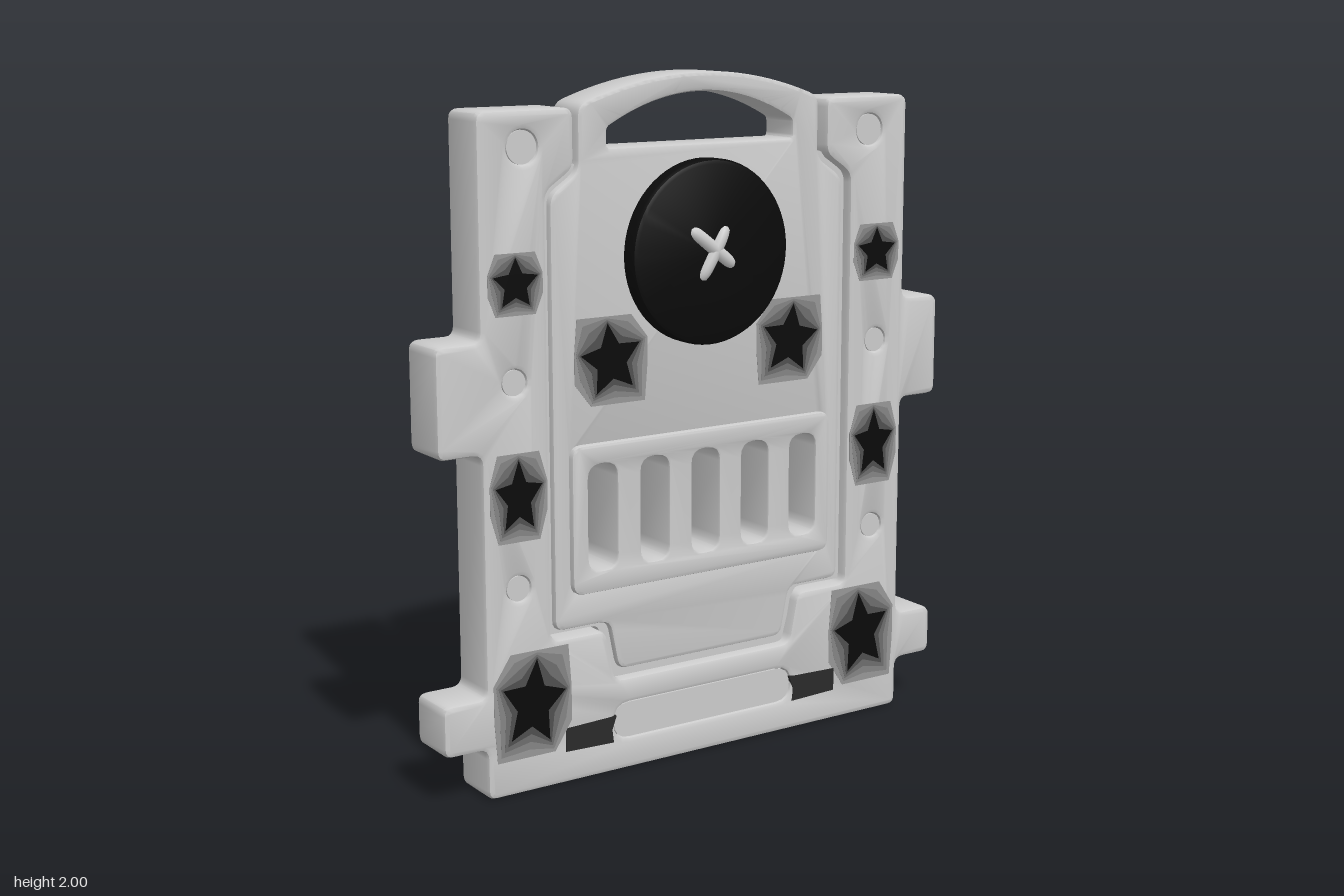
import * as THREE from 'three';
import { toCreasedNormals } from 'three/addons/utils/BufferGeometryUtils.js';

const GREY = 0xcccccc, BLACK = 0x0a0a0a;
const FRAME = [-0.093, 0.073], BADGE = [-0.081, 0.058]; // back and front faces

// Closed outline with softened corners
function rounded(pts, r, shape = new THREE.Shape()) {
  const v = pts.map(([x, y]) => new THREE.Vector2(x, y));
  v.forEach((p, i) => {
    const towards = (q) => p.clone().lerp(q, Math.min(0.5, r / p.distanceTo(q)));
    const a = towards(v[(i + v.length - 1) % v.length]);
    const b = towards(v[(i + 1) % v.length]);
    if (i) shape.lineTo(a.x, a.y); else shape.moveTo(a.x, a.y);
    for (let k = 1; k <= 4; k++) {
      const t = k / 4, s = 1 - t;
      shape.lineTo(s * s * a.x + 2 * s * t * p.x + t * t * b.x, s * s * a.y + 2 * s * t * p.y + t * t * b.y);
    }
  });
  shape.closePath();
  return shape;
}
const mirrored = (half) => [...half, ...half.slice().reverse().map(([x, y]) => [-x, y])];
const rect = (x0, x1, y0, y1) => [[x0, y0], [x1, y0], [x1, y1], [x0, y1]];
const circle = (x, y, r) => new THREE.Shape().absarc(x, y, r, 0, Math.PI * 2);

// Arched edge from (x, y) up to the middle and back down
function arch(x, y, top) {
  return Array.from({ length: 17 }, (_, i) => {
    const u = 1 - i / 8;
    return [x * u, top - (top - y) * u * u];
  });
}

export function createModel() {
  const model = new THREE.Group();
  const add = (name, geometry, color = GREY) => {
    const mesh = new THREE.Mesh(geometry, new THREE.MeshStandardMaterial({ color }));
    mesh.name = name;
    model.add(mesh);
    return mesh;
  };
  // Plate between two z levels, with bevelled rims that stay inside the outline
  const slab = (name, shape, [z0, z1], bevel = 0, color = GREY) => {
    let g = new THREE.ExtrudeGeometry(shape, {
      depth: z1 - z0 - 2 * bevel, bevelEnabled: bevel > 0, bevelThickness: bevel,
      bevelSize: bevel, bevelOffset: -bevel, bevelSegments: 2, curveSegments: 16,
    });
    g.translate(0, 0, z0 + bevel);
    return add(name, toCreasedNormals(g, 0.6), color);
  };
  const grow = ([a, b], d) => [a - d, b + d];

  // Outer frame with side tabs
  const frame = rounded(mirrored([
    [0.73, 0], [0.73, 0.15], [0.865, 0.15], [0.865, 0.3], [0.73, 0.3], [0.73, 0.99],
    [0.865, 0.99], [0.865, 1.3], [0.73, 1.3], [0.73, 1.915], [0.43, 1.915],
    [0.43, 1.75], [0.52, 1.69], [0.52, 0.43], [0.34, 0.43], [0.31, 0.275],
  ]), 0.028);

  // Round inlays and the long bottom inlay, each sunk slightly into the frame
  const inlays = [];
  for (const s of [1, -1]) {
    for (const [x, y, r] of [[0.59, 1.815, 0.046], [0.625, 1.18, 0.036], [0.622, 0.6, 0.036]]) {
      inlays.push(['roundInlay', circle(s * x, y, r)]);
    }
  }
  inlays.push(['bottomInlay', rounded(rect(-0.315, 0.315, 0.095, 0.2), 0.052)]);
  for (const [name, shape] of inlays) {
    frame.holes.push(shape);
    slab(name, shape, grow(FRAME, -0.008));
  }
  slab('frame', frame, FRAME, 0.015);

  // Floor of the groove between frame and badge
  const ventOpening = rounded(rect(-0.44, 0.44, 0.56, 0.97), 0.03);
  const floor = rounded(mirrored([
    [0.3, 0.265], [0.35, 0.44], [0.53, 0.44], [0.53, 1.69], [0.43, 1.76],
  ]), 0.02);
  floor.holes.push(ventOpening);
  slab('grooveFloor', floor, grow(BADGE, -0.02));

  // Inner badge with its arched carrying handle
  const side = [[0.29, 0.3], [0.32, 0.45], [0.5, 0.45], [0.5, 1.68], [0.41, 1.74]];
  const badge = rounded([
    ...side, ...arch(0.41, 1.92, 2), ...side.slice().reverse().map(([x, y]) => [-x, y]),
  ], 0.03);
  badge.holes.push(
    rounded([[-0.315, 1.8], [0.315, 1.8], ...arch(0.315, 1.855, 1.945)], 0.012),
    ventOpening,
  );
  slab('badgeAndHandle', badge, BADGE, 0.012);

  // Raised vent panel with five through slots
  const panel = rounded(rect(-0.45, 0.45, 0.55, 0.98), 0.035);
  for (let i = -2; i <= 2; i++) {
    const x = i * 0.175;
    panel.holes.push(rounded(rect(x - 0.048, x + 0.048, 0.612, 0.922), 0.042));
  }
  slab('ventPanel', panel, [-0.097, 0.077], 0.008);

  // Button disc passing through the badge, rounded on both rims
  const profile = [[0, -0.108], [0.25, -0.108], [0.26, -0.104], [0.265, -0.094],
    [0.265, 0.086], [0.26, 0.096], [0.25, 0.1], [0, 0.1]].map(([x, y]) => new THREE.Vector2(x, y));
  const disc = new THREE.LatheGeometry(profile, 64);
  disc.rotateX(Math.PI / 2);
  disc.scale(1, 1, -1);
  // The flip in z reverses the faces, so turn them back
  const order = disc.index.array;
  for (let i = 0; i < order.length; i += 3) [order[i], order[i + 1]] = [order[i + 1], order[i]];
  disc.translate(0, 1.495, 0);
  add('button', toCreasedNormals(disc, 0.6), BLACK);

  // Crossed threads and their eyelets, front and back
  for (const z of [1, -1]) {
    for (const [x0, y0, x1, y1] of [[-0.072, 1.565, 0.075, 1.452], [0.05, 1.565, -0.036, 1.42]]) {
      const at = (t, h) => new THREE.Vector3(x0 + (x1 - x0) * t, y0 + (y1 - y0) * t, z * h);
      const path = new THREE.CatmullRomCurve3([at(0, 0.075), at(0.08, 0.094), at(0.5, 0.102), at(0.92, 0.094), at(1, 0.075)]);
      add('thread', new THREE.TubeGeometry(path, 24, 0.021, 12));
      for (const t of [0, 1]) {
        const ring = add('eyelet', new THREE.TorusGeometry(0.026, 0.007, 8, 20));
        ring.position.copy(at(t, z > 0 ? 0.1 : 0.108));
      }
    }
  }

  // Star insets: outlines shrinking from a square to a star, darkening inward
  const star = (x, y, w, h, faces, lean) => {
    for (let k = 0; k < 5; k++) {
      const t = k / 4;
      const pts = Array.from({ length: 10 }, (_, i) => {
        const a = Math.PI / 2 + lean + i * Math.PI / 5, c = Math.cos(a), s = Math.sin(a);
        const box = 1 / Math.max(Math.abs(c), Math.abs(s));
        const m = box * (1 - t) + (i % 2 ? 0.42 : 0.85) * t;
        return new THREE.Vector2(x + w * m * c, y + h * m * s);
      });
      const shade = new THREE.Color(GREY).lerp(new THREE.Color(BLACK), 0.5 + 0.5 * t);
      slab('star', new THREE.Shape(pts), grow(faces, 0.001 + 0.0006 * k), 0, shade);
    }
  };
  for (const s of [1, -1]) {
    star(s * 0.62, 1.45, 0.085, 0.085, FRAME, 0);
    star(s * 0.62, 0.86, 0.09, 0.125, FRAME, 0);
    star(s * 0.585, 0.26, 0.125, 0.155, FRAME, s * 0.12);
    star(s * 0.31, 1.21, 0.12, 0.125, BADGE, s * -0.12);
    // Dark wedge beside the bottom inlay
    const wedge = new THREE.Shape([[0.32, 0.09], [0.48, 0.095], [0.48, 0.165], [0.31, 0.17], [0.325, 0.13]]
      .map(([x, y]) => new THREE.Vector2(s * x, y)));
    slab('wedge', wedge, grow(FRAME, 0.001), 0, 0x2a2a2a);
  }
  return model;
}
